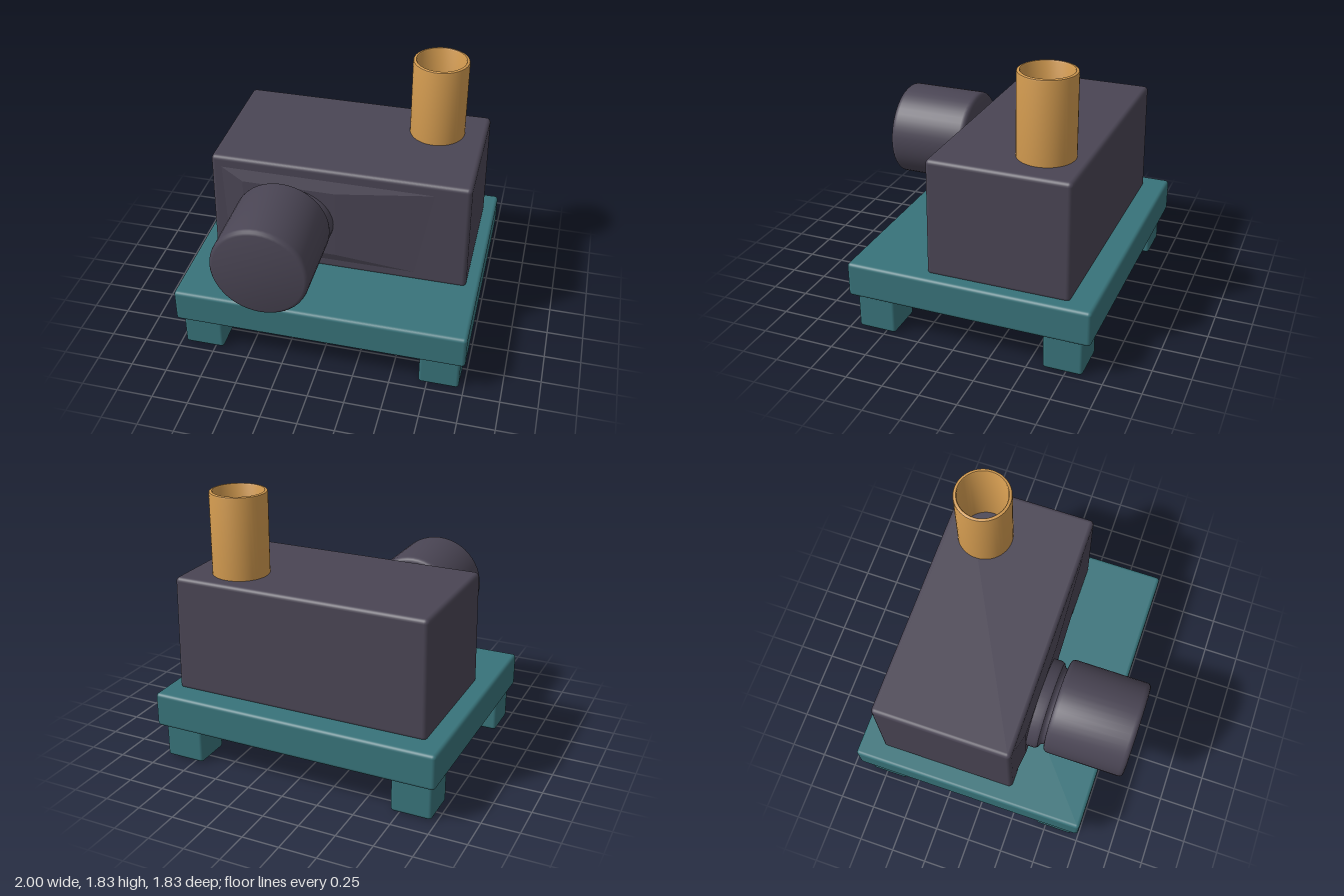
import * as THREE from 'three';
import { toCreasedNormals } from 'three/addons/utils/BufferGeometryUtils.js';
import { RoundedBoxGeometry } from 'three/addons/geometries/RoundedBoxGeometry.js';
import { ConvexGeometry } from 'three/addons/geometries/ConvexGeometry.js';

const paint = (name, color) => {
  const m = new THREE.MeshStandardMaterial({ color });
  m.name = name;
  return m;
};

export function createModel() {
  const teal = paint('teal', 0x38737a);
  const charcoal = paint('charcoal', 0x4a4554);
  const brass = paint('brass', 0xcf984e);
  const model = new THREE.Group();
  model.name = 'machine';

  const add = (name, geometry, material) => {
    const mesh = new THREE.Mesh(geometry, material);
    mesh.name = name;
    model.add(mesh);
    return mesh;
  };

  // Rounded box given by its two extreme corners
  const block = (name, min, max, radius, material) => {
    const size = max.map((v, i) => v - min[i]);
    const mesh = add(name, new RoundedBoxGeometry(...size, 3, radius), material);
    mesh.position.set(...max.map((v, i) => (v + min[i]) / 2));
    return mesh;
  };

  // Turned part around y, from [radius, height] pairs
  const turned = (points) => toCreasedNormals(
    new THREE.LatheGeometry(points.map(([r, y]) => new THREE.Vector2(r, y)), 48), 0.65);

  // Base slab and four feet
  block('baseSlab', [-1, 0.25, -0.915], [1, 0.49, 0.745], 0.025, teal);
  for (const side of [-1, 1]) {
    for (const [where, z] of [['front', 0.563], ['back', -0.728]]) {
      const x = side * 0.828;
      block(`${where}${side > 0 ? 'Left' : 'Right'}Foot`,
        [x - 0.138, 0.005, z - 0.132], [x + 0.138, 0.28, z + 0.132], 0.022, teal);
    }
  }

  // Main housing, very slightly narrower towards the top
  const housing = block('housing', [-0.872, 0.475, -0.75], [0.908, 1.275, 0.212], 0.03, charcoal);
  const pos = housing.geometry.attributes.position;
  for (let i = 0; i < pos.count; i++) {
    const k = 1 - 0.012 * (pos.getY(i) / 0.8 + 0.5);
    pos.setX(i, pos.getX(i) * (k + 0.004));
    pos.setZ(i, pos.getZ(i) * k);
  }

  // Shallow raised face that slopes up to the neck
  const corners = [];
  for (const [x0, x1, y0, y1, z] of [[-0.84, 0.87, 0.51, 1.22, 0.198], [-0.64, 0, 0.61, 1.12, 0.235]]) {
    for (const x of [x0, x1]) for (const y of [y0, y1]) corners.push(new THREE.Vector3(x, y, z));
  }
  add('raisedFace', new ConvexGeometry(corners), charcoal);

  // Oval stepped neck
  const neck = turned([
    [0, 0.15], [0.315, 0.15], [0.315, 0.29], [0.305, 0.312], [0.28, 0.325], [0.272, 0.34], [0.272, 0.4], [0, 0.4],
  ]);
  neck.rotateX(Math.PI / 2).scale(1, 0.81, 1);
  add('neck', neck, charcoal).position.set(-0.325, 0.867, 0);

  // Solid round drum at the front
  const drum = turned([
    [0, 0.355], [0.3, 0.355], [0.315, 0.36], [0.325, 0.372], [0.328, 0.39],
    [0.328, 0.88], [0.325, 0.898], [0.315, 0.91], [0.3, 0.915], [0, 0.915],
  ]);
  drum.rotateX(Math.PI / 2);
  add('drum', drum, charcoal).position.set(-0.325, 0.918, 0);

  // Open chimney standing on the housing
  const chimney = turned([
    [0.19, 1.26], [0.19, 1.817], [0.187, 1.826], [0.18, 1.83],
    [0.17, 1.83], [0.165, 1.823], [0.165, 1.26],
  ]);
  add('chimney', chimney, brass).position.set(0.562, 0, -0.465);

  return model;
}
